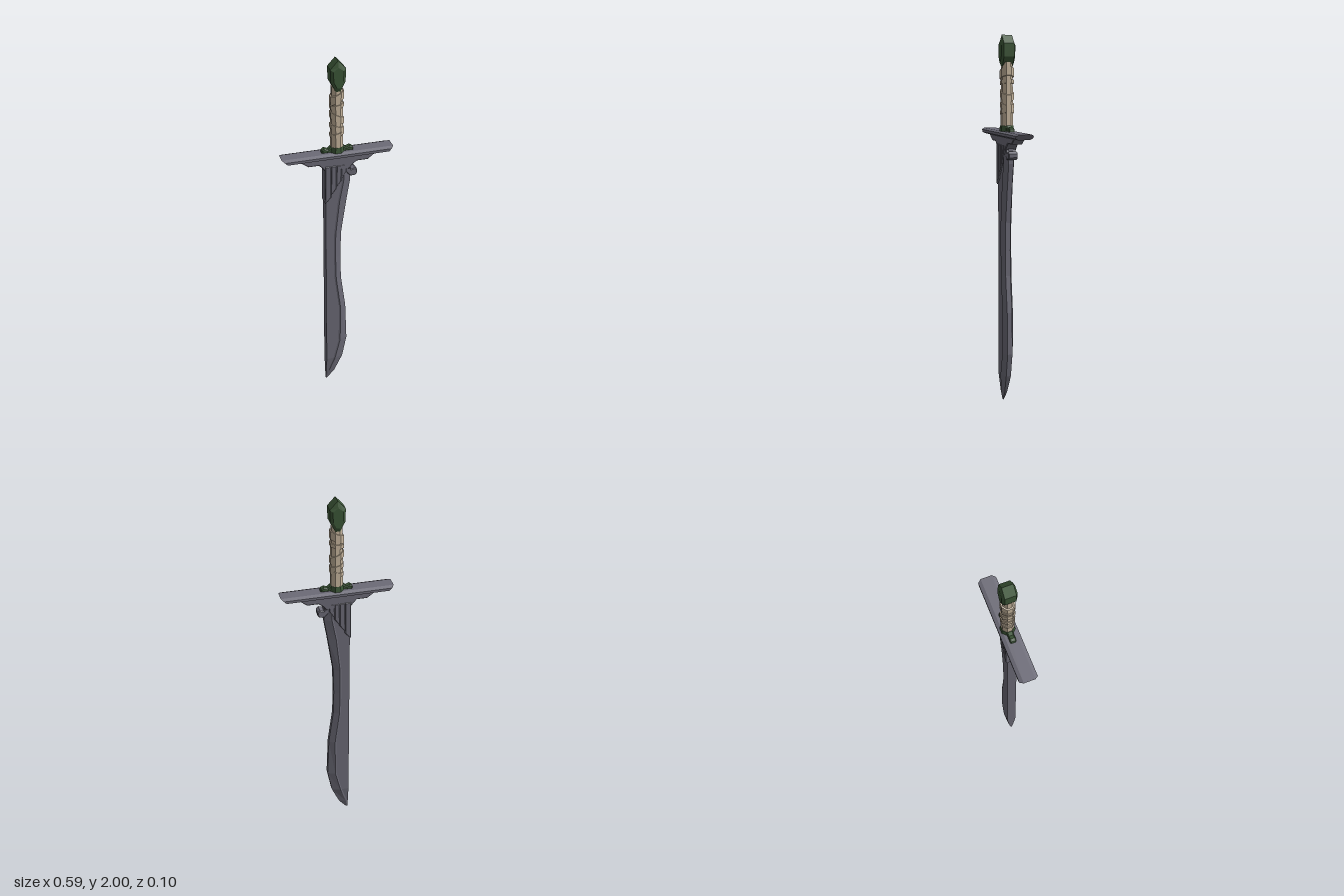
import * as THREE from 'three';

const steel = new THREE.MeshStandardMaterial({ name: 'steel grey', color: 0x6c6b77 });
const green = new THREE.MeshStandardMaterial({ name: 'dark green', color: 0x3c5637 });
const tan = new THREE.MeshStandardMaterial({ name: 'tan leather', color: 0xc6b59d });
for (const m of [steel, green, tan]) m.flatShading = true;

// Skin a list of equal-length rings of [x, y, z] points and cap both ends
function loft(rings) {
  const n = rings[0].length, pts = rings.flat(), tris = [];
  for (let r = 0; r < rings.length - 1; r++) {
    for (let i = 0; i < n; i++) {
      const j = (i + 1) % n, a = r * n + i, b = r * n + j;
      tris.push([a, b, b + n], [a, b + n, a + n]);
    }
  }
  const last = (rings.length - 1) * n;
  for (let i = 1; i < n - 1; i++) {
    tris.push([0, i + 1, i], [last, last + i, last + i + 1]);
  }
  // Turn the faces outwards whichever way the rings run
  const v = pts.map((p) => new THREE.Vector3(...p));
  const volume = tris.reduce((s, [a, b, c]) => s + v[a].dot(v[b].clone().cross(v[c])), 0);
  const order = volume < 0 ? tris.map(([a, b, c]) => [a, c, b]) : tris;
  const indexed = new THREE.BufferGeometry();
  indexed.setAttribute('position', new THREE.Float32BufferAttribute(pts.flat(), 3));
  indexed.setIndex(order.flat());
  const geo = indexed.toNonIndexed();
  geo.computeVertexNormals();
  return geo;
}

// Chamfered plate from a front outline, centred on z = 0
function plate(outline, half, bevel) {
  const shape = new THREE.Shape(outline.map(([x, y]) => new THREE.Vector2(x, y)));
  const geo = new THREE.ExtrudeGeometry(shape, {
    depth: 2 * (half - bevel), bevelEnabled: true, bevelSegments: 1,
    bevelSize: bevel, bevelThickness: bevel, bevelOffset: -bevel,
  });
  return geo.translate(0, 0, bevel - half);
}

export function createModel() {
  const model = new THREE.Group();
  model.name = 'sword';
  const add = (name, geo, mat) => {
    const mesh = new THREE.Mesh(geo, mat);
    mesh.name = name;
    model.add(mesh);
  };

  // Blade: y, ridge x, cutting edge x, half thickness
  const stations = [
    [1.42, 0.035, 0.07, 0.03], [1.33, 0.03, 0.07, 0.03], [1.21, 0.008, 0.05, 0.03],
    [1.01, -0.013, 0.021, 0.03], [0.86, -0.014, 0.018, 0.03], [0.72, -0.01, 0.021, 0.03],
    [0.52, 0.015, 0.047, 0.03], [0.29, 0.013, 0.055, 0.03], [0.16, -0.018, 0.03, 0.03],
    [0.055, -0.053, -0.015, 0.015], [0, -0.064, -0.058, 0.003],
  ];
  add('blade', loft(stations.map(([y, ridge, edge, t]) => {
    const side = [[-0.066, t * 0.87], [Math.max(ridge - 0.008, -0.065), t * 0.87], [ridge, t], [edge, t * 0.45]];
    return [
      ...side.map(([x, z]) => [x, y, z]),
      ...side.reverse().map(([x, z]) => [x, y, -z]),
    ];
  })), steel);

  // Crossguard: octagonal bar with slanted, clipped ends
  const section = [[0.03, 1.5], [0.048, 1.492], [0.048, 1.478], [0.03, 1.47]];
  const bar = [...section, ...section.map(([z, y]) => [-z, y]).reverse()];
  add('crossguard', loft([-1, 1].map((s) => bar.map(([z, y]) => {
    const clip = Math.abs(z) > 0.04 ? 0.005 : 0;
    return [s * (0.265 + (y - 1.47) - clip), y, z];
  }))), steel);

  // Stepped bracket under the guard
  add('guardBracket', plate([
    [-0.2, 1.472], [-0.155, 1.44], [-0.1, 1.44], [-0.066, 1.4], [0.06, 1.4],
    [0.075, 1.42], [0.1, 1.44], [0.16, 1.44], [0.2, 1.472],
  ], 0.031, 0.004), steel);

  // Descending fingers gripping the blade root: left x, right x, low left y, low right y
  const fingers = [
    [-0.07, -0.037, 1.21, 1.245], [-0.039, -0.008, 1.255, 1.295],
    [-0.01, 0.018, 1.3, 1.335], [0.016, 0.046, 1.345, 1.385],
  ];
  fingers.forEach(([x0, x1, y0, y1], i) => {
    add('bladeFinger' + (i + 1),
      plate([[x0, y0], [x1, y1], [x1, 1.43], [x0, 1.43]], 0.035 - i * 0.001, 0.005), steel);
  });

  // Small hook on the cutting side
  add('hook', plate([
    [0.035, 1.43], [0.04, 1.385], [0.068, 1.353], [0.095, 1.355],
    [0.104, 1.367], [0.104, 1.387], [0.092, 1.398], [0.072, 1.392], [0.062, 1.41], [0.08, 1.43],
  ], 0.026, 0.004), steel);

  // Collar on top of the guard
  add('collar', plate([
    [-0.083, 1.498], [-0.08, 1.516], [-0.068, 1.524], [-0.048, 1.516], [-0.034, 1.53],
    [0.034, 1.53], [0.048, 1.516], [0.068, 1.524], [0.083, 1.516], [0.086, 1.498],
  ], 0.016, 0.005), green);
  add('collarRing', new THREE.CylinderGeometry(0.035, 0.039, 0.03, 8)
    .rotateY(Math.PI / 8).translate(0, 1.514, 0), green);

  // Grip
  add('grip', new THREE.CylinderGeometry(0.03, 0.034, 0.36, 8)
    .rotateY(Math.PI / 8).translate(0, 1.68, 0), tan);

  // Slanted grip wraps: centre y, height, slope
  const wraps = [
    [1.8, 0.045, 0.45], [1.755, 0.02, 0.2], [1.69, 0.035, -0.5], [1.635, 0.025, -0.3], [1.6, 0.02, 0.25],
  ];
  wraps.forEach(([y, h, slope], i) => {
    const geo = new THREE.CylinderGeometry(0.037, 0.037, h, 8).rotateY(Math.PI / 8);
    const p = geo.attributes.position;
    for (let k = 0; k < p.count; k++) p.setY(k, p.getY(k) + p.getX(k) * slope);
    geo.translate(0, y, 0).computeVertexNormals();
    add('gripWrap' + (i + 1), geo, tan);
  });

  // Pommel: pointed hexagonal block with chamfered front and back
  const pommelRing = (z, w, top, shoulder, hip, low) => [
    [0, top, z], [w, shoulder, z], [w * 0.95, hip, z], [w * 0.3, low, z],
    [-w * 0.3, low, z], [-w * 0.95, hip, z], [-w, shoulder, z],
  ];
  const outer = [0.04, 2, 1.957, 1.888, 1.838], inner = [0.026, 1.967, 1.947, 1.893, 1.86];
  add('pommel', loft([
    pommelRing(-0.038, ...inner), pommelRing(-0.028, ...outer),
    pommelRing(0.028, ...outer), pommelRing(0.038, ...inner),
  ]), green);

  return model;
}
